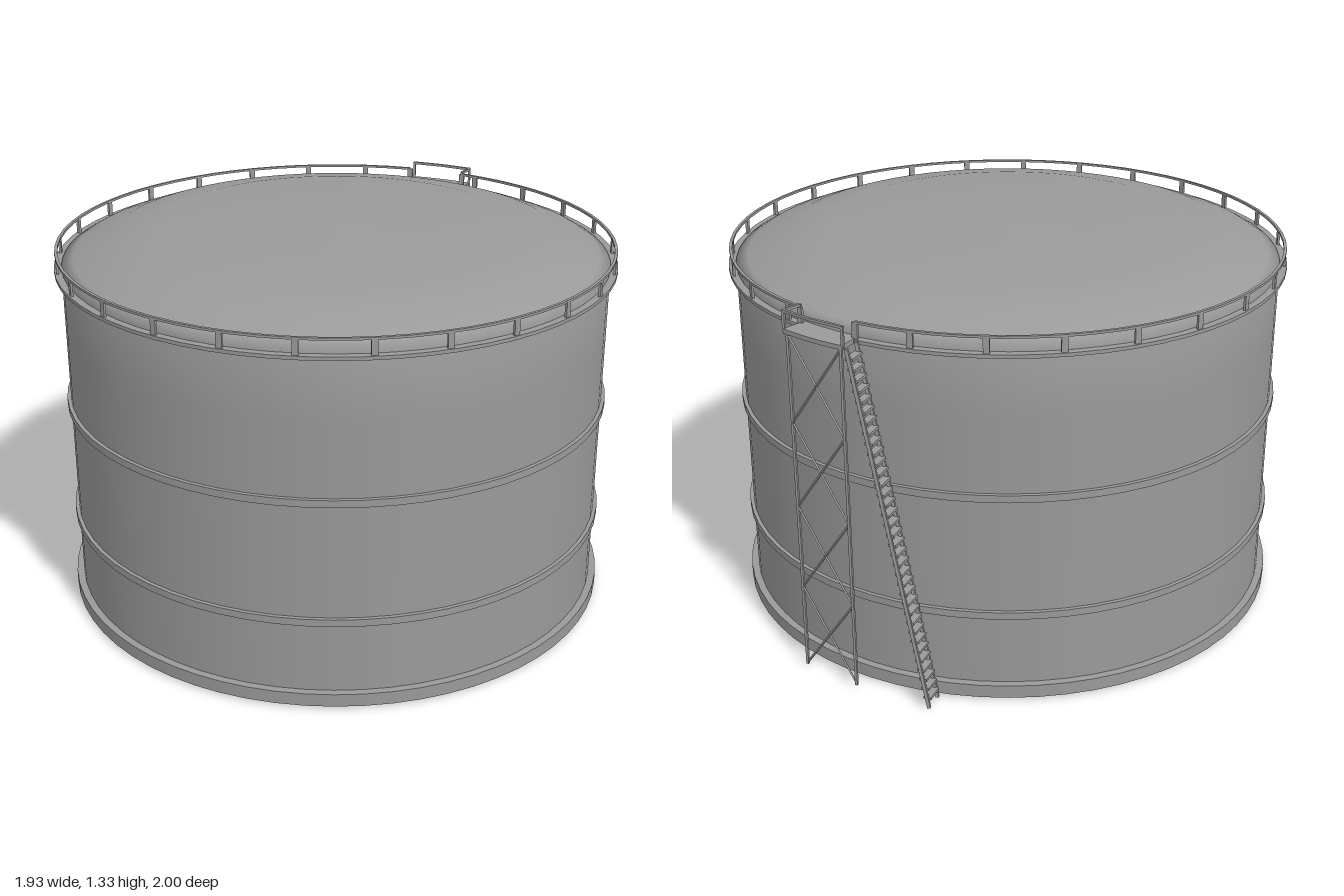
import * as THREE from 'three';
import { toCreasedNormals } from 'three/addons/utils/BufferGeometryUtils.js';

const SEGMENTS = 64;
const steel = new THREE.MeshStandardMaterial({ color: 0x9a9a9a, side: THREE.DoubleSide });

export function createModel() {
  const model = new THREE.Group();
  const tank = new THREE.Group();
  tank.name = 'storageTank';
  tank.position.z = 0.035; // the ladder sticks out at the back
  model.add(tank);

  const add = (name, geometry, parent = tank) => {
    const mesh = new THREE.Mesh(geometry, steel);
    mesh.name = name;
    parent.add(mesh);
    return mesh;
  };
  const group = (name) => {
    const g = new THREE.Group();
    g.name = name;
    tank.add(g);
    return g;
  };
  // Point at angle a (from the front towards +x) on a circle around the tank
  const polar = (r, a, y) => new THREE.Vector3(r * Math.sin(a), y, r * Math.cos(a));
  // Ring with a rectangular section
  const band = (name, rIn, rOut, y0, y1, start = 0, length = Math.PI * 2, parent = tank) => {
    const section = [[rIn, y0], [rOut, y0], [rOut, y1], [rIn, y1], [rIn, y0]]
      .map(([r, y]) => new THREE.Vector2(r, y));
    return add(name, toCreasedNormals(
      new THREE.LatheGeometry(section, SEGMENTS, start, length), Math.PI / 6), parent);
  };
  // Square bar between two points
  const beam = (name, a, b, width, parent) => {
    const mesh = add(name, new THREE.BoxGeometry(width, width, a.distanceTo(b)), parent);
    mesh.position.copy(a).add(b).multiplyScalar(0.5);
    mesh.quaternion.setFromUnitVectors(new THREE.Vector3(0, 0, 1), b.clone().sub(a).normalize());
    return mesh;
  };

  // Wall running smoothly into the shallow domed roof
  const profile = [[0.94, 0.05], [0.94, 0.73], [0.94, 1.0], [0.94, 1.22], [0.9, 1.243],
    [0.78, 1.287], [0.63, 1.316], [0.3, 1.326], [0, 1.333]];
  add('wallAndRoof', new THREE.LatheGeometry(
    profile.map(([r, y]) => new THREE.Vector2(r, y)), SEGMENTS));

  // Base slab, stiffening rings and top kerb
  const base = add('base', new THREE.CylinderGeometry(0.965, 0.965, 0.045, SEGMENTS));
  base.position.y = 0.0325;
  band('lowerRing', 0.935, 0.953, 0.3, 0.325);
  band('upperRing', 0.935, 0.953, 0.72, 0.745);
  band('topKerb', 0.935, 0.965, 1.205, 1.217);

  // The landing platform spans the angles A0 to A1 at the back
  const A0 = 2.8, A1 = 3.03, R0 = 0.935, R1 = 1.027;

  // Guard rail around the roof, open only at the platform
  const guard = group('guardRail');
  const POSTS = 26, step = Math.PI * 2 / POSTS, offset = 0.08, gapPost = 12;
  band('topRail', 0.95, 0.96, 1.266, 1.274, A1, Math.PI * 2 - (A1 - A0), guard);
  const postAngles = [A0, A1];
  for (let i = 0; i < POSTS; i++) if (i !== gapPost) postAngles.push(offset + i * step);
  for (const a of postAngles) {
    const post = add('railPost', new THREE.BoxGeometry(0.02, 0.056, 0.008), guard);
    post.position.copy(polar(0.955, a, 1.242));
    post.rotation.y = a;
  }

  // Curved platform deck
  const plan = new THREE.Shape();
  plan.absarc(0, 0, R1, A0 - Math.PI / 2, A1 - Math.PI / 2, false);
  plan.absarc(0, 0, R0, A1 - Math.PI / 2, A0 - Math.PI / 2, true);
  const deck = new THREE.ExtrudeGeometry(plan, { depth: 0.015, bevelEnabled: false, curveSegments: 6 });
  deck.rotateX(-Math.PI / 2);
  add('platform', deck).position.y = 1.205;

  // Platform hand rail along the outer edge and the far end
  const handRail = group('platformRail');
  const corners = [[R1 - 0.005, A1], [R1 - 0.005, (A0 + A1) / 2], [R1 - 0.005, A0], [R0 + 0.02, A0]];
  corners.forEach(([r, a], i) => {
    if (i !== 1) beam('handRailPost', polar(r, a, 1.21), polar(r, a, 1.28), 0.009, handRail);
    if (i > 0) beam('handRailBar', polar(...corners[i - 1], 1.277), polar(r, a, 1.277), 0.009, handRail);
  });

  // Support frame under the platform: two legs with cross bracing
  const frame = group('supportFrame');
  const legs = [A0 + 0.012, A1 - 0.008].map((a) => (y) => polar(R1 - 0.006, a, y));
  legs.forEach((leg) => beam('leg', leg(0.01), leg(1.21), 0.009, frame));
  const PANELS = 4, panel = 1.19 / PANELS;
  for (let i = 0; i < PANELS; i++) {
    const y0 = i * panel + 0.015, y1 = y0 + panel;
    beam('brace', legs[0](y0), legs[1](y1), 0.006, frame);
    beam('brace', legs[1](y0), legs[0](y1), 0.006, frame);
  }

  // Steep ladder rising sideways to the platform
  const ladder = group('ladder');
  const bottom = new THREE.Vector3(-0.148, 0.003, -0.9975), top = new THREE.Vector3(0.095, 1.215, -0.9975);
  for (const side of [-1, 1]) {
    const shift = new THREE.Vector3(0, 0, side * 0.032);
    beam('stringer', bottom.clone().add(shift), top.clone().add(shift), 0.011, ladder);
  }
  const TREADS = 36;
  for (let i = 1; i < TREADS; i++) {
    const tread = add('tread', new THREE.BoxGeometry(0.026, 0.009, 0.062), ladder);
    tread.position.lerpVectors(bottom, top, i / TREADS);
  }
  return model;
}
